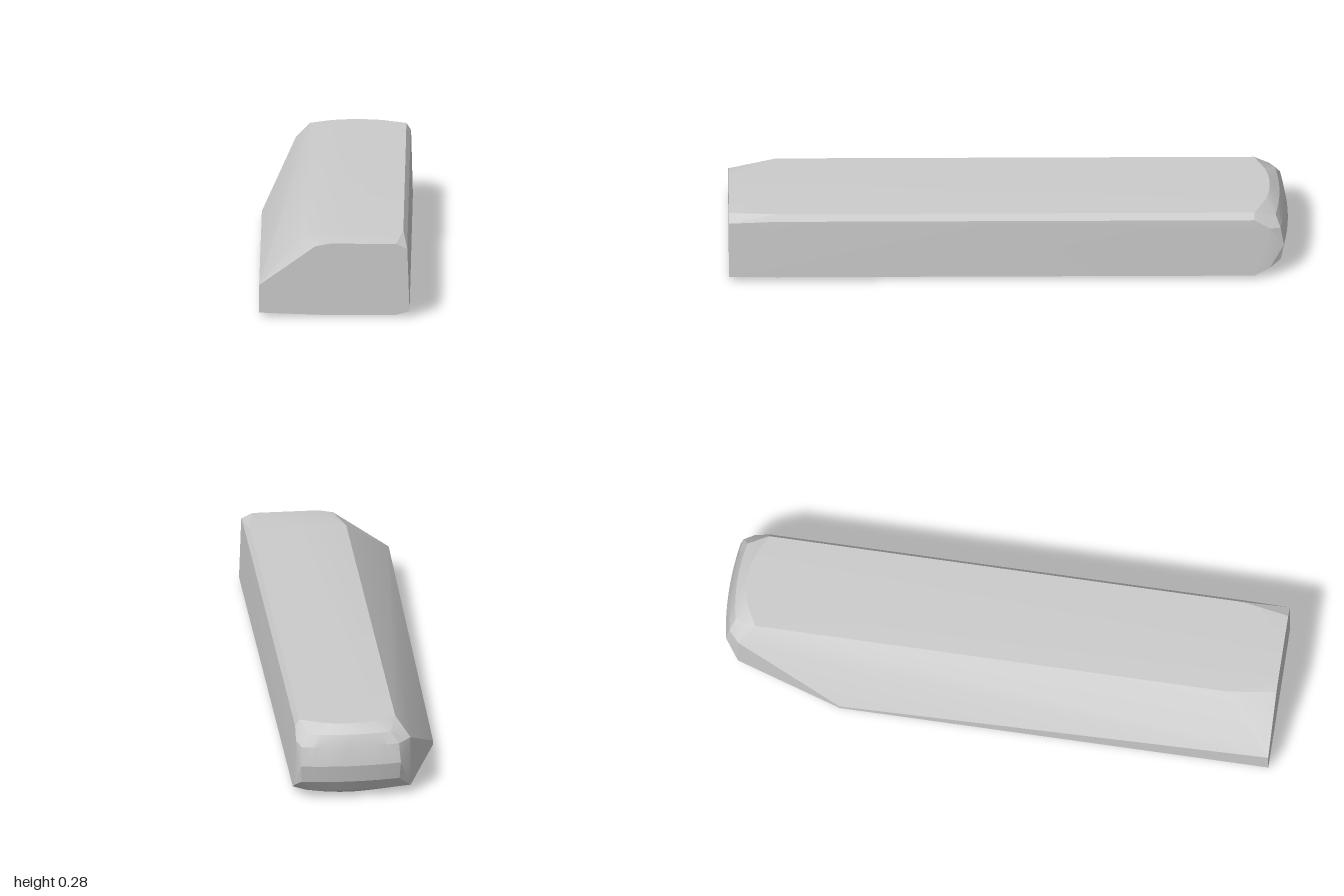
import * as THREE from 'three';
import { ConvexGeometry } from 'three/addons/geometries/ConvexGeometry.js';
import { toCreasedNormals } from 'three/addons/utils/BufferGeometryUtils.js';

export function createModel() {
  const group = new THREE.Group();
  const points = [];
  const section = (z, outline) =>
    outline.forEach(([x, y]) => points.push(new THREE.Vector3(x, y, z)));

  // Flat front end
  section(1, [[-0.27, 0.115], [-0.07, 0.257], [-0.02, 0.267], [0.22, 0.267], [0.26, 0.248],
    [0.268, 0.02], [0.22, 0.006], [-0.05, 0.006], [-0.27, 0.014]]);
  // Where the front taper of the top and underside ends
  section(0.83, [[-0.1, 0.278], [0.07, 0.28], [0.245, 0.278], [0.26, 0.255],
    [0.268, 0.018], [0.22, 0.003], [0.03, 0], [-0.08, 0.002]]);
  // Rear end of the low side wall
  section(-0.55, [[-0.27, 0.014], [-0.27, 0.03]]);
  // Start of the rounded rear end
  section(-0.88, [[-0.1, 0.278], [0.245, 0.278], [0.26, 0.255],
    [0.268, 0.018], [0.22, 0.003], [0.03, 0], [-0.1, 0.003]]);
  // Rear side corners
  section(-0.935, [[-0.15, 0.215], [-0.15, 0.03], [0.262, 0.22], [0.264, 0.05]]);

  // Rounded rear: side profile (y, z) swept across x with a slight bow
  const profile = [[0.279, -0.935], [0.25, -0.97], [0.21, -0.988], [0.14, -1],
    [0.075, -0.988], [0.03, -0.96], [0.004, -0.915]];
  for (const [y, z] of profile) {
    const edge = Math.abs(y - 0.14) / 0.14; // narrower toward top and bottom
    const half = 0.18 - 0.09 * edge ** 4;
    for (let i = -4; i <= 4; i++) {
      const t = i / 4;
      points.push(new THREE.Vector3(0.07 + half * t, y, z + 0.015 * t * t));
    }
  }

  const geometry = toCreasedNormals(new ConvexGeometry(points), 0.3);
  const body = new THREE.Mesh(geometry, new THREE.MeshStandardMaterial({ color: 0xcccccc }));
  body.name = 'body';
  group.add(body);
  return group;
}
